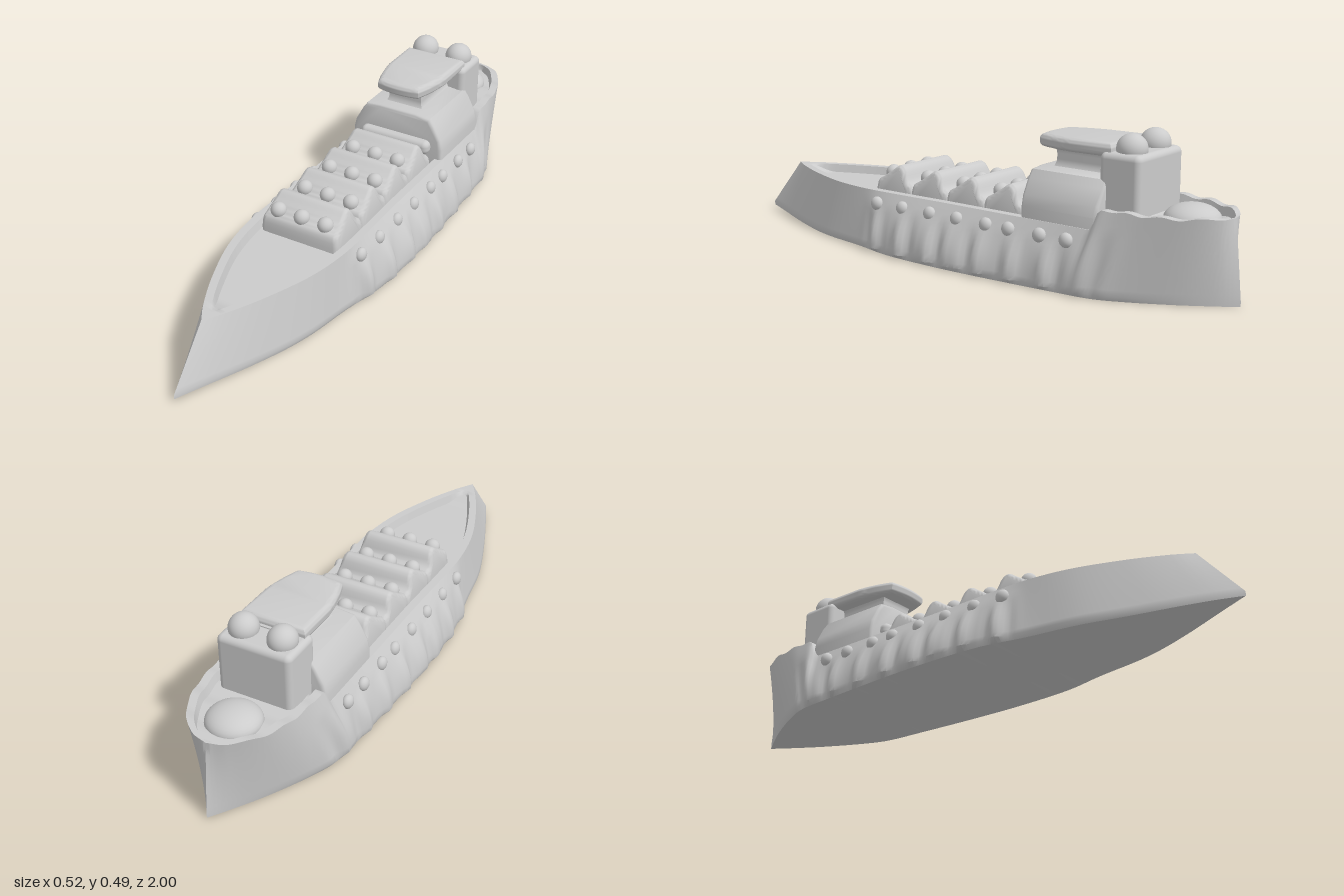
import * as THREE from 'three';
import { toCreasedNormals, mergeVertices } from 'three/addons/utils/BufferGeometryUtils.js';
import { RoundedBoxGeometry } from 'three/addons/geometries/RoundedBoxGeometry.js';

const { lerp, smoothstep } = THREE.MathUtils;
const material = new THREE.MeshStandardMaterial({ color: 0xcccccc });

function add(parent, name, geometry, x = 0, y = 0, z = 0) {
  const mesh = new THREE.Mesh(geometry, material);
  mesh.name = name;
  mesh.position.set(x, y, z);
  parent.add(mesh);
  return mesh;
}

// Hull outlines, stern to bow: [base z, base x, deck z, deck x]
const OUTLINE = [
  [-1, 0, -0.975, 0], [-0.93, 0.05, -0.955, 0.06], [-0.83, 0.115, -0.9, 0.118],
  [-0.7, 0.185, -0.8, 0.163], [-0.6, 0.222, -0.66, 0.18], [-0.45, 0.235, -0.46, 0.18],
  [-0.2, 0.25, -0.2, 0.18], [0, 0.254, 0, 0.18], [0.2, 0.243, 0.2, 0.184],
  [0.36, 0.207, 0.35, 0.182], [0.55, 0.172, 0.5, 0.157], [0.74, 0.108, 0.66, 0.1],
  [0.89, 0.048, 0.78, 0.043], [1, 0, 0.85, 0],
];
const curveOf = (i) => new THREE.CatmullRomCurve3(
  OUTLINE.map((r) => new THREE.Vector3(r[i + 1], 0, r[i])), false, 'catmullrom', 0.5);

// Closed skin through cross-section loops of equal length
function loft(rings) {
  const n = rings[0].length;
  const index = [];
  for (let i = 0; i < rings.length - 1; i++) {
    for (let j = 0; j < n; j++) {
      const a = i * n + j, b = i * n + (j + 1) % n;
      index.push(a, b, a + n, b, b + n, a + n);
    }
  }
  const geometry = new THREE.BufferGeometry();
  geometry.setAttribute('position', new THREE.Float32BufferAttribute(rings.flat(2), 3));
  geometry.setIndex(index);
  return toCreasedNormals(mergeVertices(geometry), 0.75);
}

function hullGeometry() {
  const base = curveOf(0), deck = curveOf(2);
  const rings = [];
  const steps = 170, rows = 12;
  for (let i = 0; i <= steps; i++) {
    const b = base.getPoint(i / steps), d = deck.getPoint(i / steps);
    const xb = Math.max(0, b.x), xd = Math.max(0, d.x);
    const mid = smoothstep(b.z, -0.68, -0.55) * (1 - smoothstep(b.z, 0.29, 0.36));
    const top = lerp(0.27, 0.203, smoothstep(d.z, -0.62, -0.58))
      + 0.004 * Math.sin(d.z * 60) * (1 - smoothstep(d.z, -0.7, -0.6));
    const foot = 0.015 * smoothstep(b.z, 0.6, 1);
    const half = [[0, foot, b.z], [xb * 0.96, foot, b.z]];
    // Sides: straight at the ends, bulging and rippled amidships
    for (let k = 0; k <= rows; k++) {
      const v = k / rows;
      const f = lerp(1 - v, Math.cos(v * Math.PI / 2), mid);
      const ripple = mid * Math.sin(Math.PI * Math.min(1, v + 0.25))
        * (0.009 * Math.sin(b.z * 54) + 0.004 * Math.sin(b.z * 97 + 1));
      half.push([xd + (xb - xd) * f + ripple, lerp(foot + 0.015, top, v), lerp(b.z, d.z, v)]);
    }
    // Rim and sunken deck
    const inner = Math.max(0, xd - 0.028);
    const floor = top - 0.028 * smoothstep(xd, 0.03, 0.08);
    half.push([inner, top, d.z], [Math.max(0, inner - 0.008), floor, d.z], [0, floor, d.z]);
    const mirrored = half.slice(1, -1).reverse().map(([x, y, z]) => [-x, y, z]);
    rings.push([...half, ...mirrored]);
  }
  return loft(rings);
}

// Side profile (z, y) swept across the beam
function acrossBeam(points, width, bevel) {
  const shape = new THREE.Shape(points.map(([z, y]) => new THREE.Vector2(z, y)));
  const geometry = new THREE.ExtrudeGeometry(shape, {
    depth: width - 2 * bevel, bevelThickness: bevel, bevelSize: bevel,
    bevelOffset: -bevel, bevelSegments: 4,
  });
  geometry.translate(0, 0, bevel - width / 2);
  geometry.rotateY(-Math.PI / 2);
  return toCreasedNormals(geometry, 0.8);
}

// Sloping hatch cover with three round caps
function hatch(z) {
  const group = new THREE.Group();
  group.name = 'hatch';
  const profile = new THREE.SplineCurve([
    [0.06, 0.16], [0.055, 0.225], [0.03, 0.245], [-0.005, 0.268], [-0.035, 0.287],
    [-0.06, 0.275], [-0.08, 0.235], [-0.105, 0.216], [-0.11, 0.16],
  ].map((p) => new THREE.Vector2(...p))).getPoints(32).map((p) => [p.x, p.y]);
  const geometry = acrossBeam(profile, 0.29, 0.016);
  const pos = geometry.attributes.position;
  for (let i = 0; i < pos.count; i++) {
    const rise = Math.max(0, pos.getY(i) - 0.2);
    pos.setX(i, pos.getX(i) * (1 - 1.2 * rise));
  }
  add(group, 'hatchCover', toCreasedNormals(geometry, 0.8));
  for (const x of [-0.094, -0.005, 0.084]) {
    add(group, 'hatchCap', new THREE.SphereGeometry(0.027, 20, 14), x, 0.25, 0.026);
  }
  group.position.z = z;
  return group;
}

function bridge() {
  const group = new THREE.Group();
  group.name = 'bridge';

  // Lower house: shouldered front outline extruded fore and aft
  const outline = [[0.178, 0.16], [0.178, 0.24], [0.17, 0.275], [0.143, 0.325], [0.125, 0.35], [0.07, 0.356]];
  const shape = new THREE.Shape([...outline, ...outline.slice().reverse().map(([x, y]) => [-x, y])]
    .map((p) => new THREE.Vector2(...p)));
  const house = new THREE.ExtrudeGeometry(shape, {
    depth: 0.26, bevelThickness: 0.012, bevelSize: 0.012, bevelOffset: -0.012, bevelSegments: 3,
  });
  add(group, 'lowerHouse', toCreasedNormals(house, 0.8), 0, 0, -0.592);

  // Sill across the house front
  add(group, 'frontSill', new RoundedBoxGeometry(0.27, 0.05, 0.05, 4, 0.02), 0, 0.245, -0.315);

  // Wheelhouse neck flaring up under the roof
  const neck = new THREE.BoxGeometry(1, 0.1, 1, 1, 10, 1);
  const pos = neck.attributes.position;
  for (let i = 0; i < pos.count; i++) {
    const t = Math.abs(pos.getY(i) / 0.05);
    const flare = t * t * t;
    pos.setX(i, pos.getX(i) * (0.126 + 0.05 * flare));
    pos.setZ(i, pos.getZ(i) > 0 ? -0.378 + 0.025 * flare : -0.62);
  }
  add(group, 'wheelhouse', toCreasedNormals(neck, 0.8), 0, 0.388, 0);

  // Overhanging roof, narrower at the front
  const plan = new THREE.Shape();
  plan.moveTo(-0.115, 0.61);
  plan.lineTo(0.115, 0.61);
  plan.lineTo(0.115, 0.46);
  plan.quadraticCurveTo(0.105, 0.38, 0.08, 0.322);
  plan.quadraticCurveTo(0, 0.3, -0.08, 0.322);
  plan.quadraticCurveTo(-0.105, 0.38, -0.115, 0.46);
  const roof = new THREE.ExtrudeGeometry(plan, {
    depth: 0.008, bevelThickness: 0.018, bevelSize: 0.02, bevelOffset: -0.02, bevelSegments: 5, curveSegments: 10,
  });
  roof.rotateX(-Math.PI / 2);
  const roofMesh = add(group, 'wheelhouseRoof', toCreasedNormals(roof, 0.8), 0, 0.427, 0);
  roofMesh.rotation.x = 0.012;

  // Aft tower with two domes
  add(group, 'aftTower', new RoundedBoxGeometry(0.256, 0.225, 0.145, 4, 0.02), 0, 0.322, -0.647);
  for (const side of [-1, 1]) {
    const dome = add(group, 'towerDome', new THREE.SphereGeometry(0.047, 28, 18), side * 0.067, 0.444, -0.655);
    dome.scale.z = 1.05;
  }
  return group;
}

export function createModel() {
  const model = new THREE.Group();
  model.name = 'ship';
  add(model, 'hull', hullGeometry());

  for (const z of [0.27, 0.112, -0.044, -0.2]) model.add(hatch(z));
  model.add(bridge());

  // Round cover on the stern deck
  const cover = add(model, 'sternDome', new THREE.SphereGeometry(0.088, 32, 18), 0, 0.243, -0.83);
  cover.scale.y = 0.55;

  // Portholes along both sides
  for (const side of [-1, 1]) {
    for (const z of [0.27, 0.155, 0.035, -0.08, -0.2, -0.29, -0.41, -0.51]) {
      const port = add(model, 'porthole', new THREE.SphereGeometry(0.024, 18, 12), side * 0.2, 0.163, z);
      port.scale.x = 0.75;
    }
  }
  return model;
}
